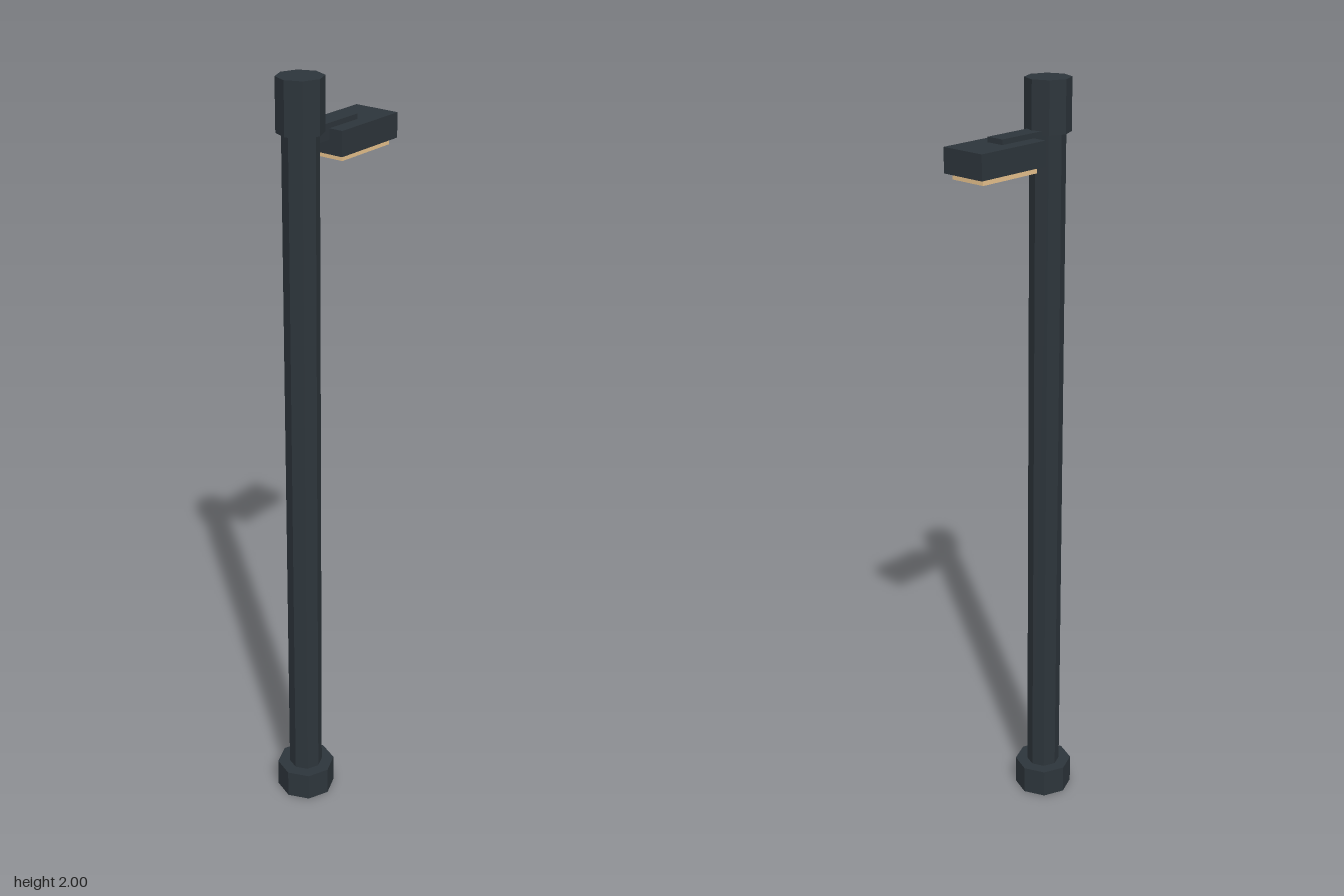
import * as THREE from 'three';

export function createModel() {
  const group = new THREE.Group();
  group.name = 'streetLamp';

  const darkMetal = new THREE.MeshStandardMaterial({ color: 0x2d353b });
  darkMetal.name = 'darkMetal';
  const warmLens = new THREE.MeshStandardMaterial({ color: 0xecc690 });
  warmLens.name = 'warmLens';

  const poleX = -0.107;

  function add(name, geometry, material, x, y) {
    const mesh = new THREE.Mesh(geometry, material);
    mesh.name = name;
    mesh.position.set(x, y, 0);
    group.add(mesh);
  }

  // Eight-sided section of the post between two heights
  function post(name, radius, y0, y1) {
    const geometry = new THREE.CylinderGeometry(radius, radius, y1 - y0, 8).toNonIndexed();
    geometry.computeVertexNormals();
    add(name, geometry, darkMetal, poleX, (y0 + y1) / 2);
  }

  // Box given by its x range, y range and depth
  function box(name, material, x0, x1, y0, y1, depth) {
    add(name, new THREE.BoxGeometry(x1 - x0, y1 - y0, depth), material, (x0 + x1) / 2, (y0 + y1) / 2);
  }

  // Post: foot, shaft and cap
  post('base', 0.078, 0, 0.078);
  post('pole', 0.045, 0.078, 1.87);
  post('cap', 0.058, 1.87, 2);

  // Bracket, lamp housing and the light panel below it
  box('arm', darkMetal, poleX, 0.077, 1.84, 1.88, 0.048);
  box('lampHousing', darkMetal, -0.031, 0.185, 1.805, 1.867, 0.124);
  box('lightPanel', warmLens, -0.015, 0.169, 1.79, 1.806, 0.1);

  return group;
}
